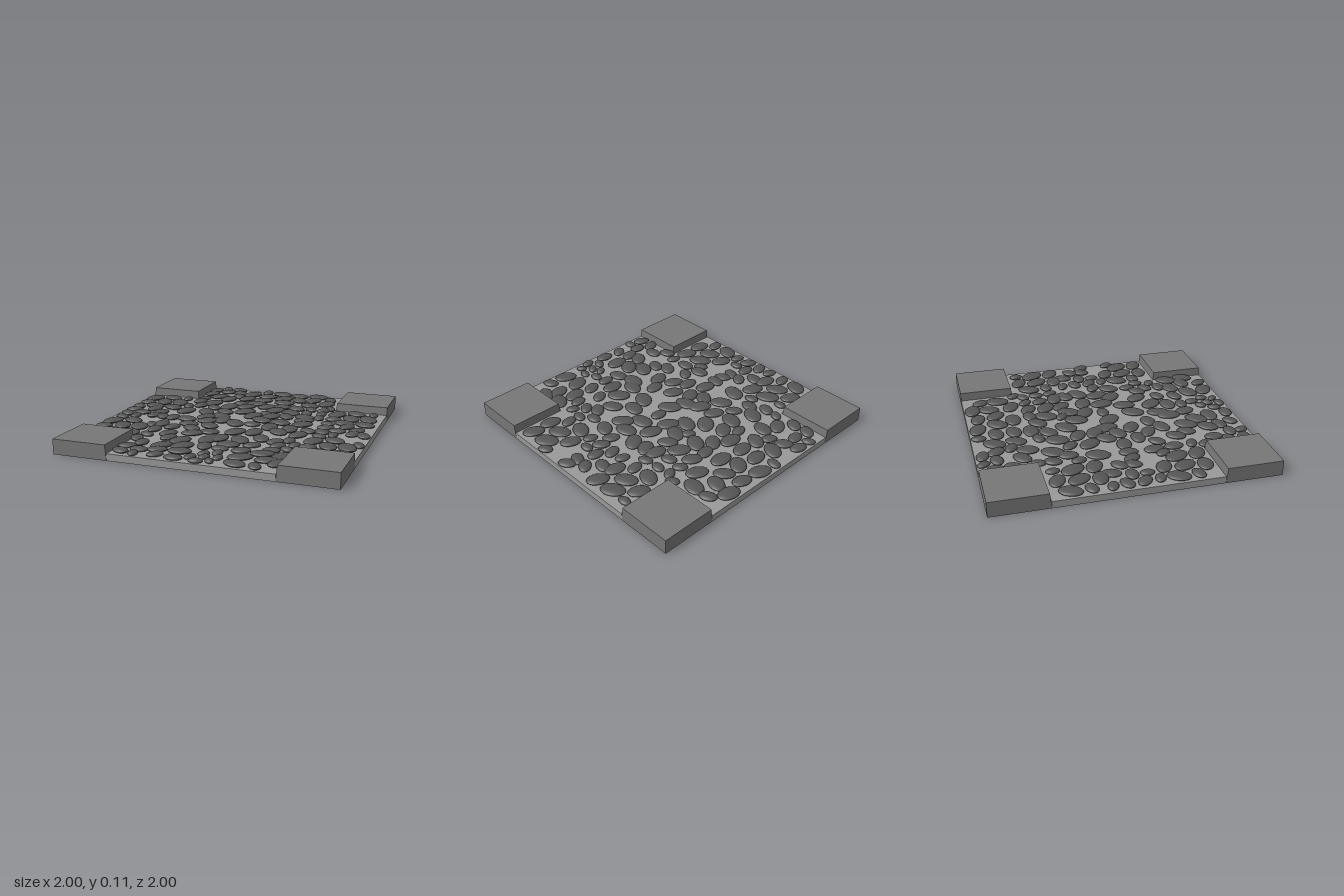
import * as THREE from 'three';

const material = (color) => new THREE.MeshStandardMaterial({ color });

// Stones are listed as x, z, half length, turn in degrees.

// Side road: stones used on both arms
const sideRoad = [
  -.925, -.07, .065, 20, -.69, -.06, .065, 45, -.825, -.01, .065, 0, -.925, .05, .065, -40,
  -.70, .035, .065, 65, -.83, .095, .052, 90, -.62, .05, .066, -55, -.915, .16, .055, -20,
  -.935, -.17, .055, -20, -.78, -.14, .07, 70, -.655, -.515, .05, 90, -.605, .28, .055, -60,
];
// Side road: patch that repeats along z
const sidePatch = [
  -.925, -.45, .085, 65, -.785, -.51, .078, -25, -.80, -.365, .085, -60, -.67, -.38, .09, -60,
  -.925, -.31, .062, 15, -.82, -.225, .08, -10, -.665, -.23, .082, -25,
];
// Main road, back end
const backRoad = [
  -.535, -.87, .066, 65, -.455, -.95, .05, -60, -.345, -.945, .065, -15, -.42, -.855, .065, 10,
  -.305, -.845, .07, -50, -.53, -.755, .068, 60, -.43, -.68, .078, 35, -.275, -.735, .06, -30,
  -.19, -.84, .085, 60, -.085, -.94, .055, 80, .05, -.93, .085, -20, .21, -.91, .075, -15,
  .365, -.935, .085, -10, .485, -.86, .065, -65, -.045, -.81, .08, 10, .105, -.78, .085, 50,
  .24, -.775, .078, -50, .355, -.81, .08, 70, .485, -.73, .088, 75, -.185, -.685, .08, 60,
  -.045, -.68, .08, 10, .145, -.655, .085, 0, .365, -.64, .083, -25, .55, -.59, .052, -60,
  -.33, -.625, .08, 75, -.525, -.585, .052, 60, -.06, -.555, .085, 0, -.185, -.52, .06, 15,
  .05, -.485, .078, 45, .17, -.525, .07, 10, .29, -.515, .075, -30, .41, -.52, .055, -50,
  .51, -.52, .055, 35, -.53, -.485, .066, 65, -.405, -.46, .088, 60, -.24, -.395, .088, 70,
  -.11, -.435, .08, 40,
];
// Middle of the crossing
const crossing = [
  -.56, -.31, .055, -80, -.475, -.365, .07, 80, -.345, -.325, .065, -45, -.215, -.24, .078, -30,
  -.07, -.295, .09, 45, .145, -.405, .088, 60, .285, -.38, .085, -35, .405, -.405, .06, -70,
  .52, -.415, .055, 80, .105, -.29, .055, -40, .03, -.195, .088, 70, .17, -.225, .085, 60,
  .28, -.26, .075, -50, .42, -.285, .08, -10, .53, -.30, .055, -70, -.52, -.165, .09, 70,
  -.355, -.185, .085, -55, -.2, -.11, .085, -30, -.15, -.01, .088, -80, -.3, -.05, .08, 50,
  -.42, .05, .08, -10, -.535, .05, .07, 85, -.03, .045, .09, -50, .1, .03, .065, 0,
  .13, -.105, .085, -30, .285, -.085, .085, -20, .44, -.2, .08, 35, .455, -.09, .085, 40,
  .245, .055, .088, -85, .4, .055, .085, -80, .54, .06, .065, -30, -.25, .05, .08, 25,
];
// Main road, in front of the crossing
const frontRoad = [
  -.54, .235, .075, -85, -.53, .385, .07, 90, -.35, .175, .075, 0, -.435, .29, .065, 50,
  -.285, .27, .075, -30, -.185, .17, .08, -30, -.125, .32, .075, 10, -.23, .39, .08, 20,
  -.39, .45, .075, 60, -.525, .52, .055, -20, -.345, .545, .07, 65, -.55, .625, .065, -70,
  -.47, .71, .068, 90, -.24, .58, .088, 60, -.315, .725, .08, 50, -.175, .685, .088, 50,
  -.065, .505, .088, 85, .05, .255, .09, 60, .18, .22, .085, 80, .345, .155, .085, -45,
  .5, .18, .08, 60, 0, .44, .085, 75, .15, .43, .088, -50, .28, .35, .08, -60,
  .395, .39, .07, 50, .48, .33, .06, 90, .11, .555, .083, 5, .27, .52, .065, 30,
  .44, .47, .06, 45, .545, .42, .055, 80, .43, .58, .062, 10, .52, .53, .05, -30,
  .24, .655, .07, 25, .09, .66, .062, 0, -.03, .645, .075, -75, .395, .67, .085, 15,
  .535, .685, .085, 65,
];
// Main road, front end
const frontEnd = [
  -.53, .81, .065, 20, -.42, .855, .065, 0, -.525, .92, .065, -25, -.42, .945, .05, -80,
  -.3, .82, .07, 20, -.145, .8, .085, 5, -.27, .92, .06, 40, -.13, .94, .068, -5,
  -.03, .89, .05, 70, .03, .8, .045, 45, .11, .755, .05, 90, .06, .865, .045, 60,
  .15, .85, .045, 80, .12, .93, .04, -50, .035, .955, .05, 10, .29, .92, .085, -25,
  .28, .785, .088, 25, .46, .79, .08, 15, .43, .93, .062, -60, .55, .83, .08, 70,
];

const stoneGeometry = new THREE.SphereGeometry(1, 20, 12);
const stoneMaterial = material(0x555555);

// A group of flattened pebbles, half sunk around y = 0.06
function paving(name, list, dx = 0, dz = 0) {
  const group = new THREE.Group();
  group.name = name;
  for (let i = 0; i < list.length; i += 4) {
    const [x, z, length, turn] = list.slice(i, i + 4);
    const stone = new THREE.Mesh(stoneGeometry, stoneMaterial);
    stone.name = 'stone';
    stone.scale.set(length, 0.018, length * 0.69);
    stone.rotation.y = THREE.MathUtils.degToRad(turn);
    stone.position.set(x + dx, 0.06, z + dz);
    group.add(stone);
  }
  return group;
}

function box(name, size, position, mat) {
  const mesh = new THREE.Mesh(new THREE.BoxGeometry(...size), mat);
  mesh.name = name;
  mesh.position.set(...position);
  return mesh;
}

// Raised corner block whose two inner walls lean back slightly
function cornerBlock(sx, sz, mat) {
  const block = box('cornerBlock', [0.41, 0.11, 0.41], [sx * 0.795, 0.055, sz * 0.795], mat);
  const p = block.geometry.attributes.position;
  for (let i = 0; i < p.count; i++) {
    if (p.getY(i) < 0) continue;
    if (p.getX(i) * sx < 0) p.setX(i, p.getX(i) + sx * 0.01);
    if (p.getZ(i) * sz < 0) p.setZ(i, p.getZ(i) + sz * 0.01);
  }
  block.geometry.computeVertexNormals();
  return block;
}

export function createModel() {
  const model = new THREE.Group();
  model.name = 'cobbledCrossing';

  // Cross-shaped road bed
  const bed = material(0x999999);
  model.add(box('mainRoadBed', [1.18, 0.05, 2], [0, 0.025, 0], bed));
  for (const s of [-1, 1]) {
    model.add(box('sideRoadBed', [0.41, 0.05, 1.18], [s * 0.795, 0.025, 0], bed));
  }

  // Four raised corners
  const pavement = material(0x777777);
  for (const sx of [-1, 1]) for (const sz of [-1, 1]) model.add(cornerBlock(sx, sz, pavement));

  // Both side roads share one layout
  for (const dx of [0, 1.565]) {
    model.add(paving('sideRoadStones', sideRoad, dx));
    for (const dz of [0, 0.735]) model.add(paving('sideRoadPatch', sidePatch, dx, dz));
  }

  // Main road
  model.add(
    paving('backRoadStones', backRoad),
    paving('crossingStones', crossing),
    paving('frontRoadStones', frontRoad),
    paving('frontEndStones', frontEnd),
  );
  return model;
}
